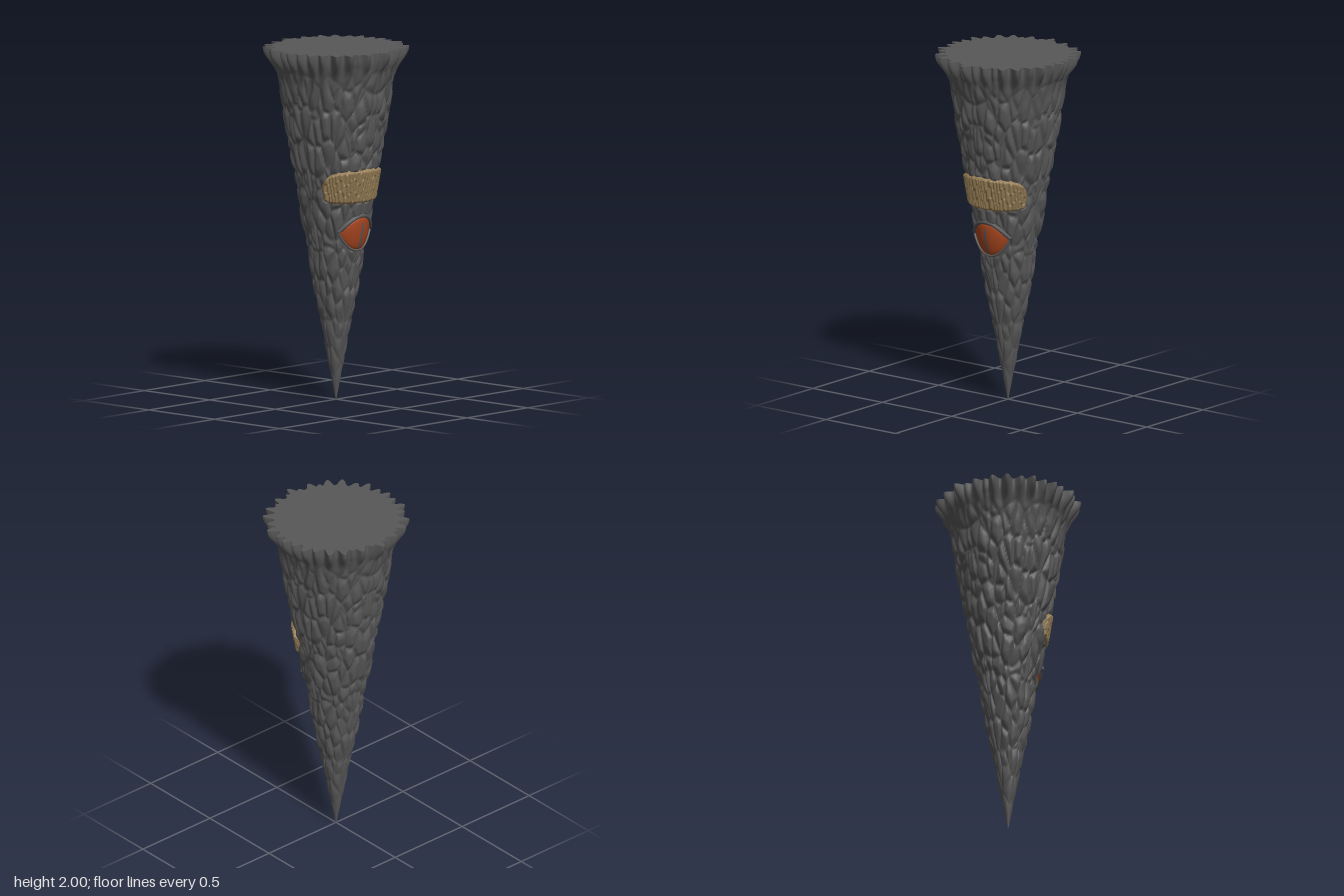
import * as THREE from 'three';

const { lerp, smoothstep, clamp } = THREE.MathUtils;

// Outer radius of the cone by height
const PROFILE = [[0, 0.003], [0.2, 0.043], [0.4, 0.083], [0.6, 0.122], [0.8, 0.158], [1, 0.194],
  [1.2, 0.228], [1.4, 0.262], [1.6, 0.298], [1.8, 0.328], [1.9, 0.348], [2, 0.362]];
function outer(y) {
  for (let i = 1; i < PROFILE.length; i++) {
    const [y0, r0] = PROFILE[i - 1], [y1, r1] = PROFILE[i];
    if (y <= y1) return lerp(r0, r1, (y - y0) / (y1 - y0));
  }
  return 0.362;
}

// Rim teeth over a quarter turn: angle in degrees, length
const TEETH = [[0, 0.065], [7, 0.027], [18.4, 0.05], [26.5, 0.025], [34.5, 0.06], [46.5, 0.066],
  [59, 0.046], [68.7, 0.066], [80.4, 0.046], [90, 0.057]];
function tooth(angle) {
  const a = Math.atan2(Math.abs(Math.sin(angle)), Math.abs(Math.cos(angle)));
  let h = 0;
  for (const [deg, len] of TEETH) {
    const d = Math.abs(a - deg * Math.PI / 180);
    h = Math.max(h, len * Math.exp(-Math.pow(d / (len > 0.03 ? 0.06 : 0.04), 2.5)));
  }
  return h;
}

// Seeded hash and cellular pattern for the bark scales
function hash(i, j, k, n) {
  const s = Math.sin(i * 127.1 + j * 311.7 + k * 74.7 + n * 53.3) * 43758.5453;
  return s - Math.floor(s);
}
function scales(x, y, z) {
  const px = Math.abs(x) / 0.056, py = y / 0.15, pz = Math.abs(z) / 0.056;
  const ci = Math.floor(px), cj = Math.floor(py), ck = Math.floor(pz);
  let f1 = 9, f2 = 9;
  for (let i = ci - 1; i <= ci + 1; i++)
    for (let j = cj - 1; j <= cj + 1; j++)
      for (let k = ck - 1; k <= ck + 1; k++) {
        const d = Math.hypot(i + hash(i, j, k, 1) - px, j + hash(i, j, k, 2) - py, k + hash(i, j, k, 3) - pz);
        if (d < f1) { f2 = f1; f1 = d; } else if (d < f2) f2 = d;
      }
  return Math.pow(clamp((f2 - f1) * 2, 0, 1), 0.6);
}

// Outlines of the brow and of the eye, u from -1 to 1
const BROW_ANGLE = 1.2;
const browTop = u => 1.33 - 0.025 * u * u - 0.075 * u ** 8;
const browBottom = u => 1.13 + 0.03 * u ** 6;
const eyeTop = u => 0.968 + 0.084 * (1 - Math.abs(u) ** 2.2);
const eyeBottom = u => 0.968 - 0.102 * (1 - Math.abs(u) ** 2.2);

function barkRadius(angle, y) {
  const r = outer(y), x = r * Math.sin(angle), z = r * Math.cos(angle);
  let depth = 0.024 * Math.min(1, r / 0.16) * (1 - scales(x, y, z));
  // Sunken beds under the eye and the brow
  if (z > 0 && (x / 0.13) ** 2 + ((y - 0.96) / 0.1) ** 2 < 1) depth = 0.018;
  const u = angle / BROW_ANGLE;
  if (Math.abs(u) < 0.97 && y < browTop(u) - 0.005 && y > browBottom(u) + 0.005) depth = 0.012;
  const flare = smoothstep(y, 1.72, 1.98);
  const rim = lerp(r, 0.345, smoothstep(y, 1.9, 2)) + tooth(angle) * (0.25 + 0.75 * smoothstep(y, 1.86, 2)) - 0.012 * (1 - smoothstep(y, 1.86, 2));
  return lerp(r - depth, rim, flare);
}

function polar(angle, r, y) {
  return [r * Math.sin(angle), y, r * Math.cos(angle)];
}

// Smooth surface over a grid; u and v run from 0 to 1
function surface(nu, nv, point, wrap = false) {
  const cols = wrap ? nu : nu + 1, pos = [], index = [];
  for (let j = 0; j <= nv; j++)
    for (let i = 0; i < cols; i++) pos.push(...point(i / nu, j / nv));
  for (let j = 0; j < nv; j++)
    for (let i = 0; i < nu; i++) {
      const a = j * cols + i, b = j * cols + (i + 1) % cols;
      index.push(a, b, b + cols, a, b + cols, a + cols);
    }
  const g = new THREE.BufferGeometry();
  g.setAttribute('position', new THREE.Float32BufferAttribute(pos, 3));
  g.setIndex(index);
  g.computeVertexNormals();
  return g;
}

export function createModel() {
  const model = new THREE.Group();
  model.name = 'barkCone';
  const material = (name, color) => {
    const m = new THREE.MeshStandardMaterial({ color });
    m.name = name;
    return m;
  };
  const bark = material('darkGreyBark', 0x585858);
  const tan = material('tanBrow', 0x947c54);
  const orange = material('rustOrangeEye', 0xa8461f);
  const slate = material('slatePupil', 0x56585c);
  tan.side = orange.side = THREE.DoubleSide;
  const add = (name, geometry, mat) => {
    const mesh = new THREE.Mesh(geometry, mat);
    mesh.name = name;
    model.add(mesh);
  };

  // Scaly trunk, angle measured from the front
  const SIDES = 288;
  const angleAt = u => (u * 2 - 1) * Math.PI;
  add('trunk', surface(SIDES, 210, (u, v) => polar(angleAt(u), barkRadius(angleAt(u), 2 * v), 2 * v), true), bark);

  // Flat toothed lid
  add('topCap', surface(SIDES, 1, (u, v) => polar(angleAt(u), barkRadius(angleAt(u), 2) * (1 - v), 2), true), bark);

  // Brow of fine upright strands wrapped around the front
  add('brow', surface(150, 36, (u, v) => {
    const s = u * 2 - 1, y = lerp(browBottom(s), browTop(s), v), a = s * BROW_ANGLE;
    const row = Math.floor(v * 3 + 0.3 * Math.sin(s * 23));
    const strand = Math.abs(Math.sin(s * 40 + row * 1.3 + Math.sin(s * 17)));
    const edge = Math.min(1, v * 14, (1 - v) * 14, (1 - Math.abs(s)) * 14);
    return polar(a, outer(y) - 0.016 + edge * (0.014 + 0.01 * strand), y);
  }), tan);

  // Almond eyeball
  const eyePoint = (s, v, lift = 0) => {
    const x = 0.12 * s, y = lerp(eyeBottom(s), eyeTop(s), v), r = outer(y);
    const bulge = 0.016 * (1 - s * s) * Math.sqrt(Math.max(0, Math.sin(Math.PI * v)));
    return [x, y, Math.sqrt(r * r - x * x) - 0.006 + bulge + lift];
  };
  add('eye', surface(40, 24, (u, v) => eyePoint(u * 2 - 1, v)), orange);

  // Upright slit pupil
  add('pupil', surface(4, 20, (u, v) => eyePoint((u * 2 - 1) * 0.065 * Math.min(1, Math.sin(Math.PI * v) * 3 + 0.25),
    lerp(0.06, 0.86, v), 0.002)), slate);

  // Eyelids along the upper and lower eye edges
  for (const [name, v, radius] of [['upperLid', 1, 0.012], ['lowerLid', 0, 0.007]]) {
    const points = [];
    for (let i = 0; i <= 16; i++) {
      const [x, y, z] = eyePoint(i / 8 - 1, v);
      points.push(new THREE.Vector3(x * 1.06, y + (v ? 0.007 : -0.005), z));
    }
    add(name, new THREE.TubeGeometry(new THREE.CatmullRomCurve3(points), 40, radius, 8), bark);
  }
  return model;
}
